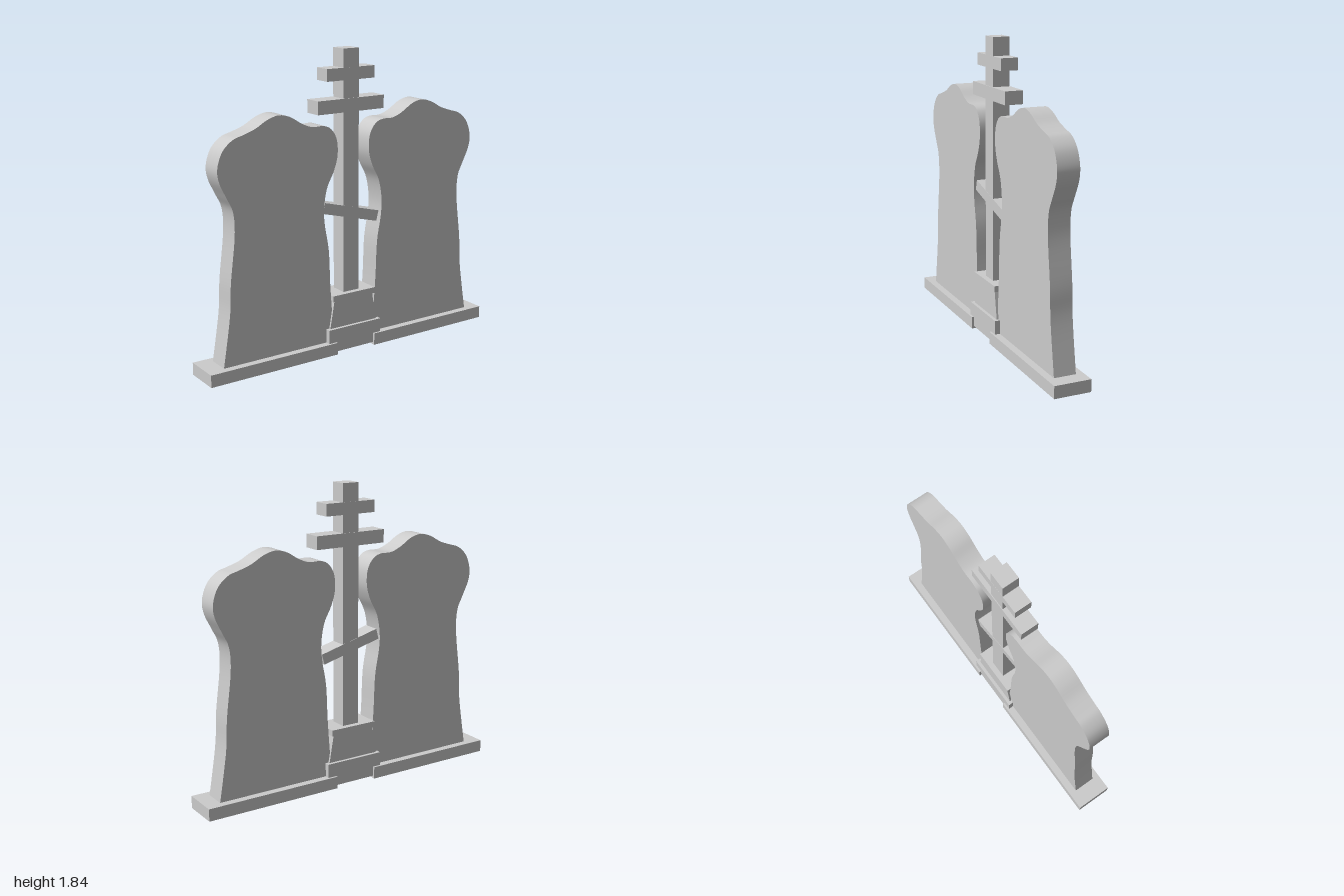
import * as THREE from 'three';
import { toCreasedNormals } from 'three/addons/utils/BufferGeometryUtils.js';

const material = new THREE.MeshStandardMaterial({ color: 0xcccccc });

function add(parent, name, geometry) {
  const mesh = new THREE.Mesh(geometry, material);
  mesh.name = name;
  parent.add(mesh);
  return mesh;
}

// Box given by its x range, y range and depth, centred on z = 0
function box(parent, name, x0, x1, y0, y1, depth) {
  const mesh = add(parent, name, new THREE.BoxGeometry(x1 - x0, y1 - y0, depth));
  mesh.position.set((x0 + x1) / 2, (y0 + y1) / 2, 0);
  return mesh;
}

// Outline of one headstone, from the outer foot over the crown to the inner foot
const OUTLINE = [
  [0.893, 0.075], [0.845, 0.38], [0.834, 0.57], [0.802, 0.837], [0.807, 0.98],
  [0.845, 1.067], [0.888, 1.158], [0.898, 1.238], [0.866, 1.329], [0.802, 1.388],
  [0.738, 1.409], [0.658, 1.436], [0.578, 1.479], [0.503, 1.498], [0.428, 1.481],
  [0.353, 1.436], [0.283, 1.409], [0.203, 1.407], [0.15, 1.382], [0.112, 1.318],
  [0.107, 1.222], [0.134, 1.131], [0.182, 1.035], [0.203, 0.917], [0.198, 0.81],
  [0.171, 0.65], [0.16, 0.409], [0.135, 0.075],
];

function headstoneGeometry(side, shift, depth) {
  const points = OUTLINE.map(([x, y]) => new THREE.Vector2(side * x + shift, y));
  const shape = new THREE.Shape(new THREE.SplineCurve(points).getPoints(120));
  const geometry = new THREE.ExtrudeGeometry(shape, { depth, bevelEnabled: false });
  geometry.translate(0, 0, -depth / 2);
  return toCreasedNormals(geometry, 0.6);
}

export function createModel() {
  const model = new THREE.Group();
  model.name = 'doubleMemorial';

  // Two mirrored headstones on their plinths
  add(model, 'leftHeadstone', headstoneGeometry(1, 0.013, 0.135));
  add(model, 'rightHeadstone', headstoneGeometry(-1, 0, 0.135));
  box(model, 'leftPlinth', 0.135, 1, 0, 0.075, 0.226);
  box(model, 'rightPlinth', -1, -0.138, 0, 0.075, 0.226);

  // Stepped pedestal with a tapered block
  const pedestal = new THREE.Group();
  pedestal.name = 'pedestal';
  model.add(pedestal);
  box(pedestal, 'pedestalBase', -0.19, 0.19, 0.015, 0.16, 0.2);
  const taper = new THREE.Shape([
    new THREE.Vector2(-0.17, 0.16), new THREE.Vector2(0.17, 0.16),
    new THREE.Vector2(0.14, 0.332), new THREE.Vector2(-0.14, 0.332),
  ]);
  const block = add(pedestal, 'pedestalBlock',
    new THREE.ExtrudeGeometry(taper, { depth: 0.16, bevelEnabled: false }));
  block.position.z = -0.08;
  box(pedestal, 'pedestalCap', -0.154, 0.154, 0.33, 0.367, 0.176);

  // Cross with two level bars and a slanted lower bar
  const cross = new THREE.Group();
  cross.name = 'cross';
  model.add(cross);
  box(cross, 'post', -0.055, 0.055, 0.365, 1.84, 0.105);
  box(cross, 'topBar', -0.168, 0.168, 1.657, 1.73, 0.107);
  box(cross, 'mainBar', -0.234, 0.234, 1.47, 1.55, 0.114);
  const footBar = box(cross, 'slantedBar', -0.2015, 0.2015, 0.828, 0.894, 0.109);
  footBar.rotation.z = -0.256;

  return model;
}
